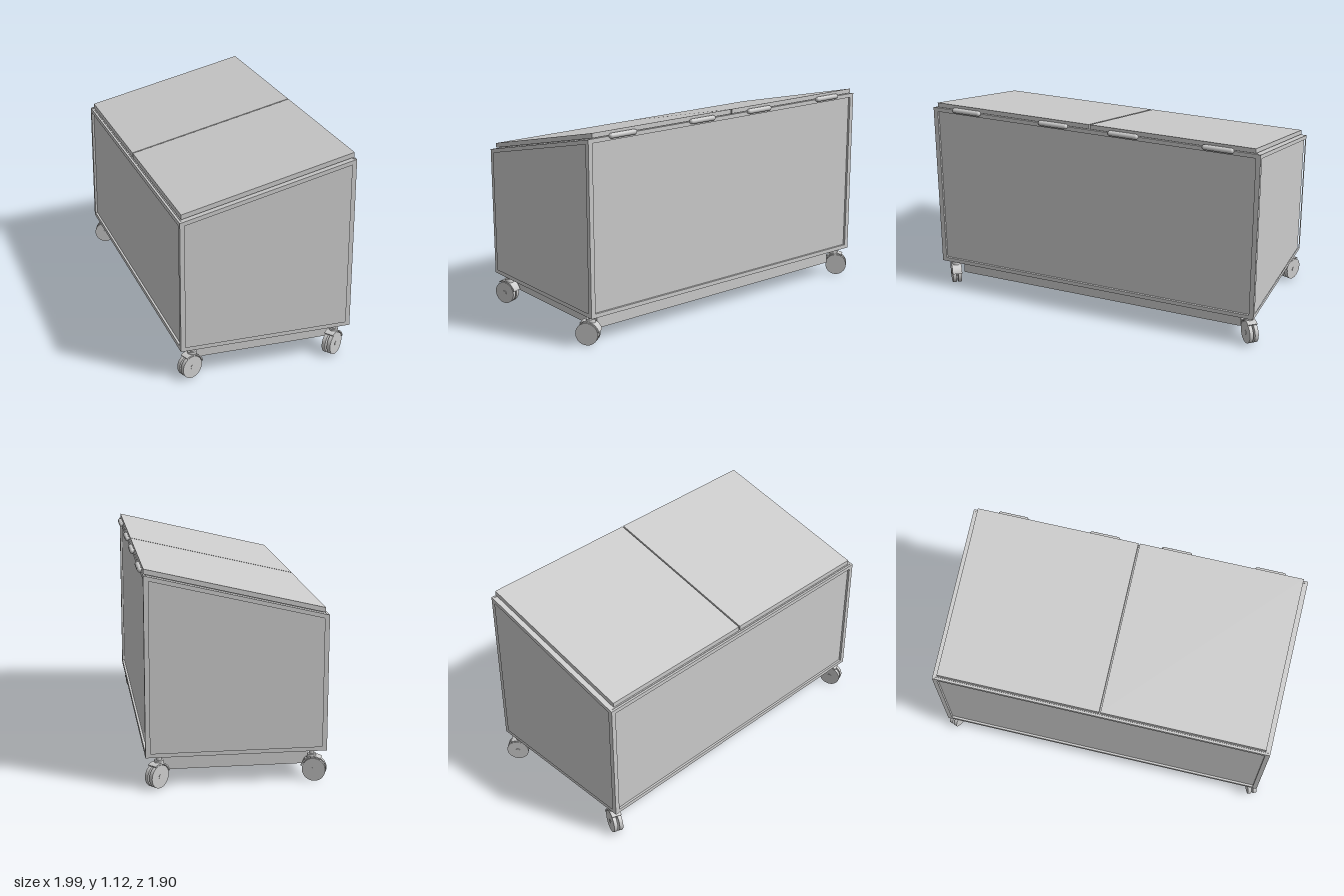
import * as THREE from 'three';

const mat = new THREE.MeshStandardMaterial({ color: 0xcccccc });
const thin = new THREE.MeshStandardMaterial({ color: 0xcccccc, side: THREE.DoubleSide });

const HL = 0.92, HD = 0.46;         // half length, half depth of the cabinet
const BOTTOM = 0.165, REC = 0.012;  // underside height, panel recess
const SLOPE = 0.24;
const topAt = z => 0.868 + (HD - z) * SLOPE;

function add(parent, name, geo, x = 0, y = 0, z = 0, material = mat) {
  const m = new THREE.Mesh(geo, material);
  m.name = name;
  m.position.set(x, y, z);
  parent.add(m);
  return m;
}

const outline = pts => pts.map(([a, b]) => new THREE.Vector2(a, b));

// Extrude a (z, y) profile along x, centred on x = 0
function alongX(pts, width, hole) {
  const flip = p => outline(p.map(([z, y]) => [-z, y]));
  const s = new THREE.Shape(flip(pts));
  if (hole) s.holes.push(new THREE.Path(flip(hole)));
  const g = new THREE.ExtrudeGeometry(s, { depth: width, bevelEnabled: false });
  g.translate(0, 0, -width / 2);
  return g.rotateY(Math.PI / 2);
}

// Sloped-top side profile, with borders
const profile = (hd, side = 0, low = 0, high = 0) => [
  [hd - side, BOTTOM + low], [hd - side, topAt(hd - side) - high],
  [-hd + side, topAt(-hd + side) - high], [-hd + side, BOTTOM + low]];

// Rectangular frame for the front and back
function rectFrame(hw, y0, y1) {
  const rect = (w, a, b) => outline([[-w, a], [w, a], [w, b], [-w, b]]);
  const s = new THREE.Shape(rect(hw, y0, y1));
  s.holes.push(new THREE.Path(rect(HL - 0.025, y0 + 0.022, y1 - 0.022)));
  return new THREE.ExtrudeGeometry(s, { depth: REC, bevelEnabled: false });
}

// Swivel caster: twin wheels, curved hood and stem; origin on the floor under the stem
function caster() {
  const g = new THREE.Group();
  g.name = 'caster';
  const cz = -0.015, r = 0.06;
  for (const s of [-1, 1]) {
    const wheel = new THREE.CylinderGeometry(r, r, 0.02, 28).rotateZ(Math.PI / 2);
    add(g, 'wheel', wheel, s * 0.015, r, cz);
  }
  add(g, 'axle', new THREE.CylinderGeometry(0.012, 0.012, 0.054, 12).rotateZ(Math.PI / 2), 0, r, cz);
  // Hood: arc band over the wheels, reaching down on the stem side
  const arc = new THREE.Shape();
  const a0 = 0.25, a1 = 2.1;
  arc.absarc(0, 0, 0.07, a0, a1, false);
  arc.absarc(0, 0, 0.063, a1, a0, true);
  const hood = new THREE.ExtrudeGeometry(arc, { depth: 0.054, bevelEnabled: false, curveSegments: 14 });
  hood.translate(0, 0, -0.027).rotateY(-Math.PI / 2);
  add(g, 'hood', hood, 0, r, cz);
  add(g, 'fork', new THREE.BoxGeometry(0.01, 0.07, 0.05), 0, 0.09, cz + 0.012);
  add(g, 'collar', new THREE.CylinderGeometry(0.023, 0.025, 0.02, 20), 0, 0.13, 0);
  add(g, 'stem', new THREE.CylinderGeometry(0.013, 0.013, 0.05, 16), 0, 0.148, 0);
  return g;
}

export function createModel() {
  const model = new THREE.Group();
  model.name = 'rollingBin';
  const bin = new THREE.Group();
  bin.name = 'bin';
  const turn = -0.717;
  bin.rotation.y = turn;
  model.add(bin);

  // Cabinet core and the raised frames around its recessed panels
  add(bin, 'cabinet', alongX(profile(HD - REC), 2 * (HL - REC)));
  for (const s of [-1, 1]) {
    add(bin, 'sideFrame', alongX(profile(HD), REC, profile(HD, 0.025, 0.022, 0.022)), s * (HL - REC / 2));
  }
  add(bin, 'frontFrame', rectFrame(HL - REC, BOTTOM, topAt(HD)), 0, 0, HD - REC);
  add(bin, 'backFrame', rectFrame(HL - REC, BOTTOM, topAt(-HD)), 0, 0, -HD);

  // Two sloped lids with a narrow seam, on a slightly smaller gasket
  const slab = (zf, zb, lo, hi) => [
    [zf, topAt(zf) + lo], [zf, topAt(zf) + hi], [zb, topAt(zb) + hi], [zb, topAt(zb) + lo]];
  const lidW = 0.89;
  for (const s of [-1, 1]) {
    const x = s * (0.004 + lidW / 2);
    add(bin, 'lid', alongX(slab(0.445, -0.457, 0.004, 0.029), lidW), x);
    add(bin, 'lidGasket', alongX(slab(0.435, -0.45, -0.002, 0.006), lidW - 0.02), x);
  }

  // Hinges along the back edge
  for (const x of [-0.70, -0.19, 0.205, 0.715]) {
    const hinge = new THREE.CapsuleGeometry(0.014, 0.14, 6, 14).rotateZ(Math.PI / 2);
    add(bin, 'hinge', hinge, x, 1.09, -0.465);
  }

  // Plinth below the cabinet
  add(bin, 'plinth', new THREE.BoxGeometry(1.66, 0.1, 0.76), 0, 0.12, 0);

  // Casters at the corners, each swivelled its own way: x side, z side, heading
  const casters = [
    [-1, 1, Math.PI / 2 + 0.5], [1, 1, Math.PI - 0.35],
    [1, -1, Math.PI - 0.08], [-1, -1, 0]];
  for (const [sx, sz, heading] of casters) {
    const c = caster();
    c.position.set(sx * 0.878, 0, sz * 0.39);
    c.rotation.y = heading - turn;
    bin.add(c);
  }
  return model;
}
